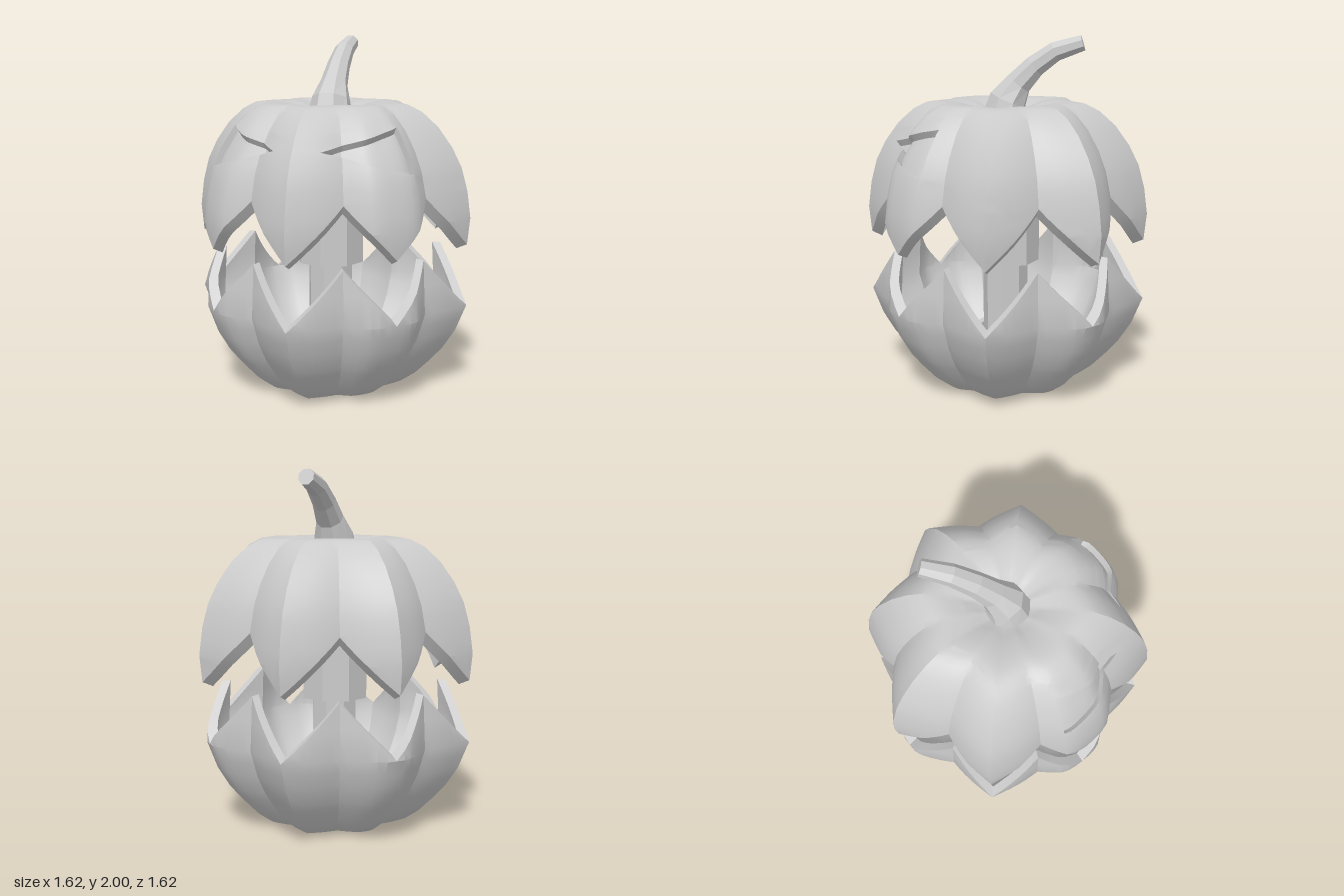
import * as THREE from 'three';
import { toCreasedNormals } from 'three/addons/utils/BufferGeometryUtils.js';

const grey = new THREE.MeshStandardMaterial({ color: 0xcccccc });
const flat = new THREE.MeshStandardMaterial({ color: 0xcccccc, flatShading: true });
const DEG = Math.PI / 180;
const COLS = 96, WALL = 0.075, EYE_DEPTH = 0.035;

// Ridge profiles [radius, y], running from the mouth to the centre
const UPPER = [[.79, .8], [.81, 1], [.79, 1.15], [.755, 1.28], [.7, 1.39], [.62, 1.5], [.53, 1.58],
  [.45, 1.62], [.37, 1.63], [.24, 1.61], [.12, 1.57], [0, 1.55]];
const LOWER = [[.78, .82], [.8, .5], [.74, .35], [.67, .24], [.6, .16], [.51, .07], [.43, .015],
  [.36, 0], [.22, .03], [.12, .06], [0, .07]];

function along(profile, s) {
  const i = Math.min(Math.floor(s), profile.length - 2), t = s - i;
  return [0, 1].map(k => profile[i][k] * (1 - t) + profile[i + 1][k] * t);
}

// Profile parameter at a given height on the side
function paramAt(profile, y) {
  for (let i = 0; i < profile.length - 1; i++) {
    const a = profile[i][1], b = profile[i + 1][1];
    if ((y - a) * (y - b) <= 0) return i + (y - a) / (b - a);
  }
  return 0;
}

// Angle from the nearest of the eight ridges, 0 to 22.5 degrees
function ridgeAngle(theta) {
  const step = Math.PI / 4;
  return Math.abs(theta - Math.round(theta / step) * step);
}

// Sharp ribs, flattened on the two front diagonals
function rib(theta, backLimit) {
  const a = ridgeAngle(theta);
  const f = .318 / (.318 * Math.cos(a) + .233 * Math.sin(a)) + .015 * Math.sin(a * 8);
  const n = Math.abs(Math.round(theta / (Math.PI / 4)));
  return n === 1 ? Math.min(f, .915) : n === 3 ? Math.min(f, backLimit) : f;
}

// Split a polygon by the line a-b: [left part, right part]
function split(poly, a, b) {
  const side = p => (b[0] - a[0]) * (p[1] - a[1]) - (b[1] - a[1]) * (p[0] - a[0]);
  const left = [], right = [];
  poly.forEach((p, i) => {
    const q = poly[(i + 1) % poly.length], d = side(p), e = side(q);
    if (d >= 0) left.push(p);
    if (d <= 0) right.push(p);
    if (d * e < 0) {
      const t = d / (d - e), m = [p[0] + (q[0] - p[0]) * t, p[1] + (q[1] - p[1]) * t];
      left.push(m);
      right.push(m);
    }
  });
  return [left, right];
}

// Ribbed half shell with a zigzag mouth edge; eyes are counter-clockwise outlines in (angle, parameter)
function shell({ profile, ridgeY, grooveY, pivot, flip, eyes, backLimit }) {
  const pos = [];
  const point = ([theta, s], inset) => {
    const [r, y] = along(profile, s), k = 1 - inset, R = r * k * rib(theta, backLimit);
    return new THREE.Vector3(R * Math.sin(theta), pivot + (y - pivot) * k, R * Math.cos(theta));
  };
  const face = (pts, reverse) => {
    for (let i = 1; i < pts.length - 1; i++) {
      const tri = [pts[0], pts[i], pts[i + 1]];
      if (reverse) tri.reverse();
      const area = tri[1].clone().sub(tri[0]).cross(tri[2].clone().sub(tri[0])).length();
      if (area > 1e-8) tri.forEach(p => pos.push(p.x, p.y, p.z));
    }
  };
  const patch = (poly, inset, reverse) => face(poly.map(p => point(p, inset)), reverse);
  const rim = theta => paramAt(profile,
    ridgeY + (grooveY - ridgeY) * ridgeAngle(theta) / (22.5 * DEG));

  const rows = (profile.length - 1) * 2;
  for (let i = 0; i < COLS; i++) {
    const t0 = (i / COLS * 2 - 1) * Math.PI, t1 = ((i + 1) / COLS * 2 - 1) * Math.PI;
    const s0 = rim(t0), s1 = rim(t1);
    for (let j = 0; j < rows; j++) {
      const lo = j / 2, hi = lo + .5;
      if (hi <= Math.min(s0, s1)) continue;
      const cell = [[t0, Math.max(lo, s0)], [t1, Math.max(lo, s1)],
        [t1, Math.max(hi, s1)], [t0, Math.max(hi, s0)]];
      patch(cell, WALL, !flip);
      let pieces = [cell];
      // Cut the eye outlines out and sink what lies inside them
      for (const eye of eyes) {
        const outside = [];
        for (let piece of pieces) {
          eye.forEach((a, k) => {
            const [inner, outer] = split(piece, a, eye[(k + 1) % eye.length]);
            if (outer.length > 2) outside.push(outer);
            piece = inner;
          });
          if (piece.length > 2) patch(piece, EYE_DEPTH, flip);
        }
        pieces = outside;
      }
      pieces.forEach(p => patch(p, 0, flip));
    }
    // Cut face of the mouth
    const a = [t0, s0], b = [t1, s1];
    face([point(a, 0), point(a, WALL), point(b, WALL), point(b, 0)], flip);
  }
  // Walls of the eye recesses
  for (const eye of eyes) eye.forEach((a, k) => {
    const b = eye[(k + 1) % eye.length];
    const at = t => [a[0] + (b[0] - a[0]) * t, a[1] + (b[1] - a[1]) * t];
    for (let i = 0; i < 16; i++) {
      const p = at(i / 16), q = at((i + 1) / 16);
      face([point(p, 0), point(q, 0), point(q, EYE_DEPTH), point(p, EYE_DEPTH)]);
    }
  });
  const g = new THREE.BufferGeometry();
  g.setAttribute('position', new THREE.Float32BufferAttribute(pos, 3));
  return toCreasedNormals(g, .42);
}

// Tapered eight-sided stem bending backwards: [z, y, radius]
function stemGeometry() {
  const path = [[.01, 1.53, .135], [-.015, 1.64, .11], [-.075, 1.73, .078], [-.165, 1.825, .066],
    [-.28, 1.907, .058], [-.432, 1.955, .046]];
  const N = 8, pos = [], index = [];
  path.forEach(([z, y, r], i) => {
    const a = path[Math.max(i - 1, 0)], b = path[Math.min(i + 1, path.length - 1)];
    const tilt = i === 0 ? 0 : Math.atan2(a[0] - b[0], b[1] - a[1]);
    for (let k = 0; k < N; k++) {
      const w = (k + .5) / N * Math.PI * 2, c = r * Math.cos(w);
      pos.push(r * Math.sin(w), y + c * Math.sin(tilt), z + c * Math.cos(tilt));
      if (i) {
        const p = (i - 1) * N + k, q = (i - 1) * N + (k + 1) % N;
        index.push(p, q, q + N, p, q + N, p + N);
      }
    }
  });
  const top = (path.length - 1) * N;
  for (let k = 1; k < N - 1; k++) index.push(top, top + k, top + k + 1);
  const g = new THREE.BufferGeometry();
  g.setAttribute('position', new THREE.Float32BufferAttribute(pos, 3));
  g.setIndex(index);
  g.computeVertexNormals();
  return g;
}

export function createModel() {
  const group = new THREE.Group();
  const add = (name, geometry, material, y = 0) => {
    const mesh = new THREE.Mesh(geometry, material);
    mesh.name = name;
    mesh.position.y = y;
    group.add(mesh);
  };

  const eye = [[12, 1.41], [57, 1.28], [57, 1.52]].map(([deg, y]) => [deg * DEG, paramAt(UPPER, y)]);
  const mirrored = eye.map(([t, s]) => [-t, s]).reverse();
  add('upperShell', shell({ profile: UPPER, ridgeY: .85, grooveY: 1.14, pivot: .5,
    flip: false, eyes: [eye, mirrored], backLimit: 1 }), grey);
  add('lowerShell', shell({ profile: LOWER, ridgeY: .5, grooveY: .8, pivot: .85,
    flip: true, eyes: [], backLimit: .95 }), grey);
  add('stem', stemGeometry(), flat);

  // Octagonal post joining the halves
  add('upperSleeve', new THREE.CylinderGeometry(.195, .195, .8, 8), flat, 1.11);
  add('post', new THREE.CylinderGeometry(.13, .13, .64, 8), flat, .41);
  const socket = [[.2, .08], [.2, .3], [.155, .3], [.155, .2], [0, .2]];
  add('lowerSocket', new THREE.LatheGeometry(socket.map(p => new THREE.Vector2(...p)), 8), flat);
  return group;
}
